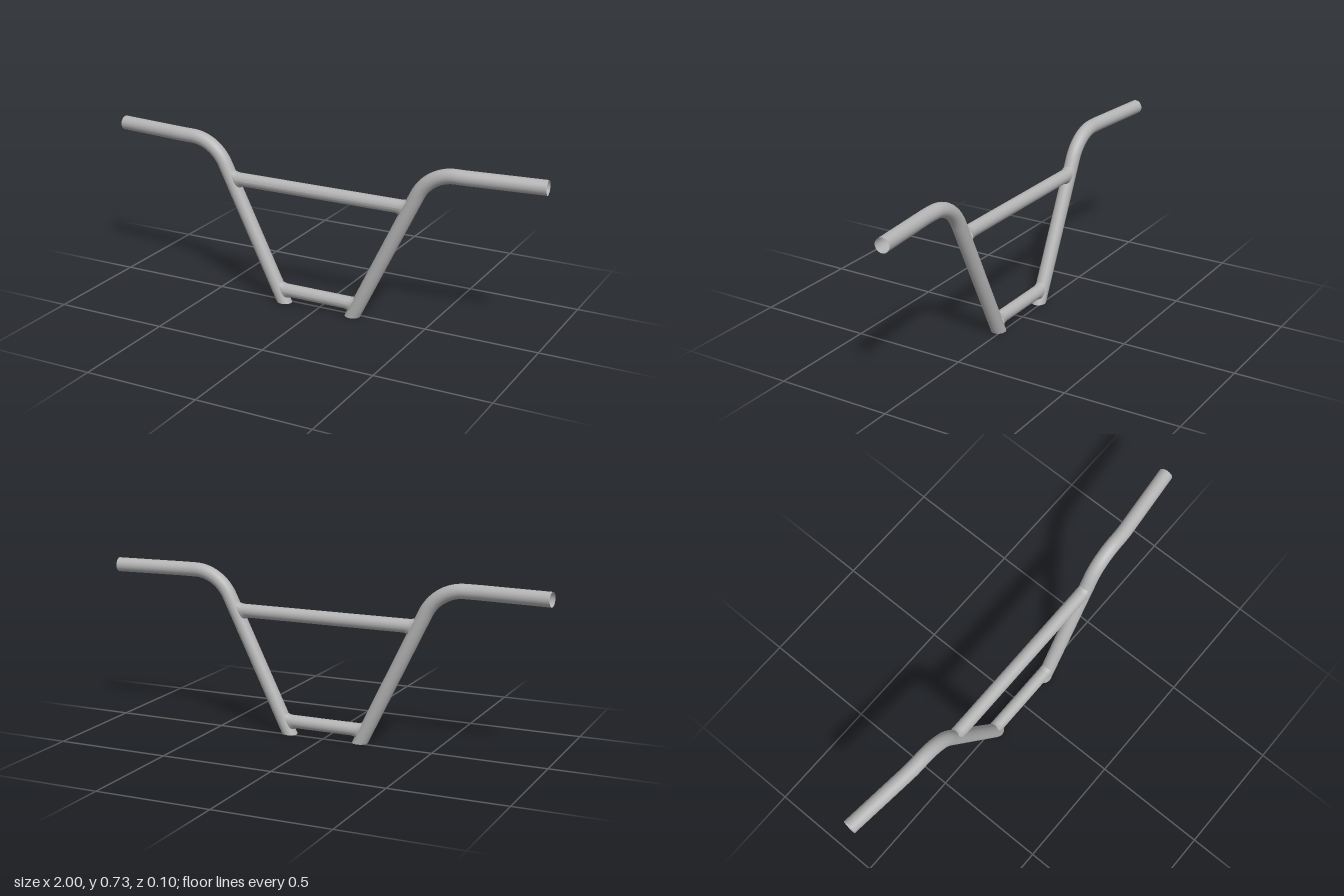
import * as THREE from 'three';

const SLOPE = 0.489;   // sideways lean of the legs
const FOOT = 0.167;    // leg centre at the ground
const R = 0.0313;      // main tube radius
const Z = 0.0165;      // depth of the main plane
const SIDES = 24;
const V = (x, y, z = Z) => new THREE.Vector3(x, y, z);

// Leg, shoulder bend and swept-back grip as one path
function barPath(s) {
  const corner = V(s * 0.507, 0.694);
  const legEnd = V(s * 0.456, 0.59);
  const bendEnd = V(s * 0.622, 0.695);
  const path = new THREE.CurvePath();
  path.add(new THREE.LineCurve3(V(s * FOOT, 0), legEnd));
  path.add(new THREE.CubicBezierCurve3(legEnd, legEnd.clone().lerp(corner, 0.61),
    bendEnd.clone().lerp(corner, 0.61), bendEnd));
  const sweepEnd = V(s * 0.69, 0.6955, 0.0135);
  path.add(new THREE.QuadraticBezierCurve3(bendEnd, V(s * 0.655, 0.695), sweepEnd));
  path.add(new THREE.LineCurve3(sweepEnd, V(s * 0.997, 0.697, -0.0165)));
  return path;
}

// Tube whose first ring slides along the leg to lie flat on the ground
function sideTube(s) {
  const geo = new THREE.TubeGeometry(barPath(s), 80, R, SIDES, false);
  const p = geo.attributes.position;
  for (let i = 0; i <= SIDES; i++) {
    p.setX(i, p.getX(i) - s * SLOPE * p.getY(i));
    p.setY(i, 0);
  }
  return geo;
}

// Cross tube with ends mitred to the legs and flared a little by the welds
function crossTube(y, r) {
  const half = FOOT + SLOPE * y;
  const rings = [[-1, 0.025, 1.4], [-1, 0.036, 1.14], [-1, 0.05, 1],
    [1, 0.05, 1], [1, 0.036, 1.14], [1, 0.025, 1.4]];
  const geo = new THREE.CylinderGeometry(r, r, 1, SIDES, rings.length - 1, true);
  geo.rotateZ(Math.PI / 2); // rows now run from -x to +x
  const p = geo.attributes.position;
  for (let i = 0; i < p.count; i++) {
    const [s, inset, flare] = rings[Math.floor(i / (SIDES + 1))];
    const h = p.getY(i) * flare;
    p.setXYZ(i, s * (half - inset + SLOPE * h), y + h, p.getZ(i) + Z);
  }
  geo.computeVertexNormals();
  return geo;
}

export function createModel() {
  const group = new THREE.Group();
  const steel = new THREE.MeshStandardMaterial({ color: 0xb4b4b4, side: THREE.DoubleSide });
  steel.name = 'greySteel';
  const add = (name, geo) => {
    const mesh = new THREE.Mesh(geo, steel);
    mesh.name = name;
    group.add(mesh);
    return mesh;
  };

  for (const s of [1, -1]) {
    const side = s > 0 ? 'left' : 'right';
    add(side + 'SideTube', sideTube(s));
    // Closed foot; the grip end stays open
    const cap = new THREE.CircleGeometry(R, SIDES);
    cap.rotateX(Math.PI / 2);
    cap.scale(Math.hypot(1, SLOPE), 1, 1);
    add(side + 'FootCap', cap).position.set(s * FOOT, 0, Z);
  }
  add('upperCrossbar', crossTube(0.531, 0.0295));
  add('lowerClampBar', crossTube(0.057, 0.0285));
  return group;
}
